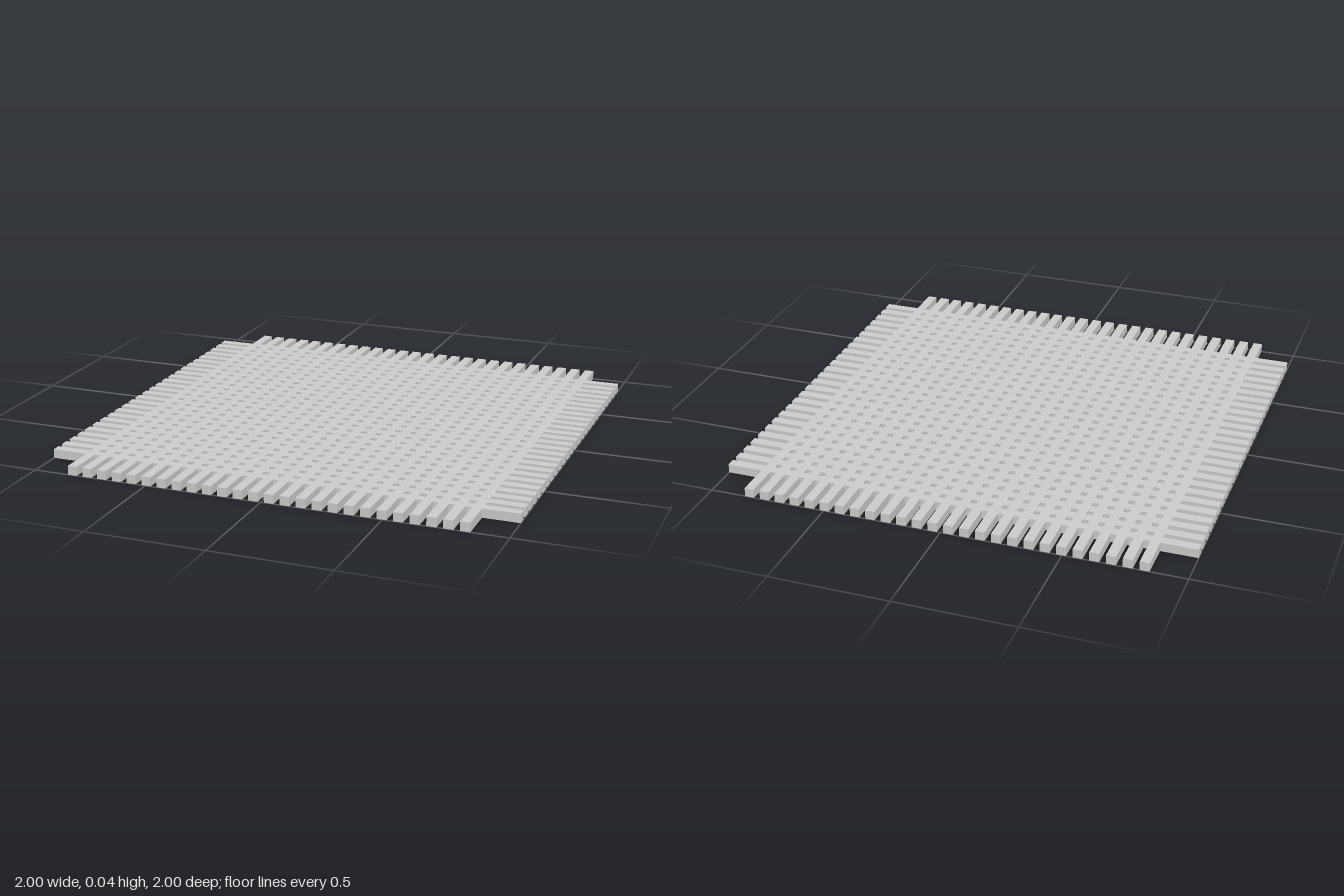
import * as THREE from 'three';

const BARS = 26;      // bars in each direction
const REACH = 0.848;  // outer edge of the first and last bar
const WIDTH = 0.04;   // bar width
const HEIGHT = 0.038; // bar thickness

// Grid lines: overhang, then bar / gap / bar ..., then overhang
function gridLines() {
  const pitch = (2 * REACH - WIDTH) / (BARS - 1);
  const lines = [-1];
  for (let i = 0; i < BARS; i++) {
    const start = -REACH + i * pitch;
    lines.push(start, start + WIDTH);
  }
  lines.push(1);
  return lines;
}

// One fused slab of crossing bars, without any faces inside it
function latticeGeometry() {
  const lines = gridLines();
  const cells = lines.length - 1;
  const inside = (i) => i >= 0 && i < cells;
  // odd strips are bars, even strips are gaps
  const solid = (i, j) => inside(i) && inside(j) && (i % 2 === 1 || j % 2 === 1);
  const sides = [[-1, 0], [0, 1], [1, 0], [0, -1]];
  const positions = [];
  const quad = (a, b, c, d) => positions.push(...a, ...b, ...c, ...a, ...c, ...d);

  for (let i = 0; i < cells; i++) {
    for (let j = 0; j < cells; j++) {
      if (!solid(i, j)) continue;
      const [x0, x1, z0, z1] = [lines[i], lines[i + 1], lines[j], lines[j + 1]];
      const corners = [[x0, z0], [x0, z1], [x1, z1], [x1, z0]];
      const low = corners.map(([x, z]) => [x, 0, z]);
      const high = corners.map(([x, z]) => [x, HEIGHT, z]);
      quad(...high);                          // top
      quad(low[3], low[2], low[1], low[0]);   // underside
      sides.forEach(([di, dj], k) => {        // walls facing open gaps
        const n = (k + 1) % 4;
        if (!solid(i + di, j + dj)) quad(low[k], low[n], high[n], high[k]);
      });
    }
  }

  const geometry = new THREE.BufferGeometry();
  geometry.setAttribute('position', new THREE.Float32BufferAttribute(positions, 3));
  geometry.computeVertexNormals();
  return geometry;
}

export function createModel() {
  const group = new THREE.Group();
  group.name = 'gratingPanel';
  const material = new THREE.MeshStandardMaterial({ color: 0xcccccc });
  const lattice = new THREE.Mesh(latticeGeometry(), material);
  lattice.name = 'crossedBars';
  group.add(lattice);
  return group;
}
